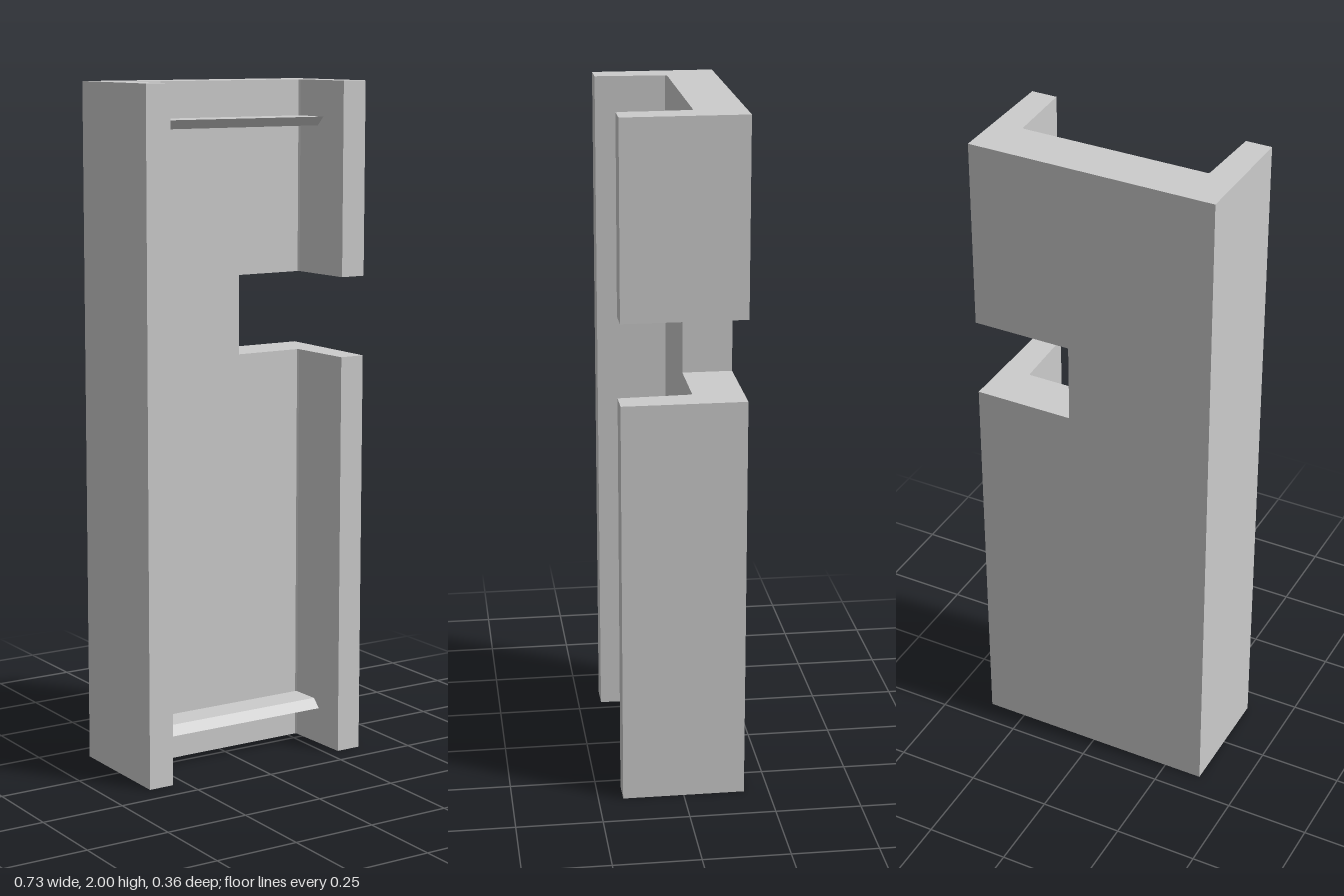
import * as THREE from 'three';

const W = 0.367, D = 0.178;            // half width, half depth
const FLOOR = -0.033;                  // z of the recessed panel
const NOTCH = { x: 0.07, y0: 1.2, y1: 1.435 };
const material = new THREE.MeshStandardMaterial({ color: 0xcccccc, flatShading: true });

// Plan outlines as [x, z], counter-clockwise seen from above
const leftHalf = [[-W, D], [-0.29, D], [-0.281, FLOOR + 0.005], [-0.277, FLOOR]];
const rightHalf = leftHalf.map(([x, z]) => [-x, z]).reverse();
const notchEnd = [[NOTCH.x, FLOOR], [NOTCH.x, -D]];
const channel = [...leftHalf, ...rightHalf, [W, -D], [-W, -D]];
const cutChannel = [...leftHalf, ...notchEnd, [-W, -D]];
const ledge = [notchEnd[0], ...rightHalf, [W, -D], notchEnd[1]];

function add(group, name, geometry) {
  const mesh = new THREE.Mesh(geometry, material);
  mesh.name = name;
  group.add(mesh);
  return mesh;
}

// Vertical walls that follow a closed outline between two heights
function walls(outline, y0, y1) {
  const pos = [];
  outline.forEach(([ax, az], i) => {
    const [bx, bz] = outline[(i + 1) % outline.length];
    pos.push(ax, y0, az, bx, y0, bz, bx, y1, bz);
    pos.push(ax, y0, az, bx, y1, bz, ax, y1, az);
  });
  const g = new THREE.BufferGeometry();
  g.setAttribute('position', new THREE.Float32BufferAttribute(pos, 3));
  g.computeVertexNormals();
  return g;
}

// Flat horizontal face; dir is 1 for facing up, -1 for facing down
function cap(outline, y, dir) {
  const shape = new THREE.Shape(outline.map(([x, z]) => new THREE.Vector2(x, -z * dir)));
  return new THREE.ShapeGeometry(shape).rotateX(-dir * Math.PI / 2).translate(0, y, 0);
}

// Thin cross rail with a bevelled front, profile in (-z, y)
function rail() {
  const back = -FLOOR + 0.005, len = 0.572;
  const shape = new THREE.Shape([
    new THREE.Vector2(back, 0), new THREE.Vector2(-0.083, 0),
    new THREE.Vector2(-0.057, 0.026), new THREE.Vector2(back, 0.026),
  ]);
  return new THREE.ExtrudeGeometry(shape, { depth: len, bevelEnabled: false })
    .translate(0, 0, -len / 2).rotateY(Math.PI / 2);
}

export function createModel() {
  const model = new THREE.Group();
  model.name = 'channelPanel';

  // Channel body, with the left side cut away at the notch
  const body = new THREE.Group();
  body.name = 'body';
  add(body, 'lowerWalls', walls(channel, 0, NOTCH.y0));
  add(body, 'notchWalls', walls(cutChannel, NOTCH.y0, NOTCH.y1));
  add(body, 'upperWalls', walls(channel, NOTCH.y1, 2));
  add(body, 'bottomEnd', cap(channel, 0, -1));
  add(body, 'topEnd', cap(channel, 2, 1));
  add(body, 'notchSill', cap(ledge, NOTCH.y0, 1));
  add(body, 'notchHead', cap(ledge, NOTCH.y1, -1));
  model.add(body);

  // Cross rails: the upper one is the lower one turned upside down
  add(model, 'lowerRail', rail()).position.y = 0.11;
  const upper = add(model, 'upperRail', rail().rotateZ(Math.PI));
  upper.position.y = 1.895;

  return model;
}
